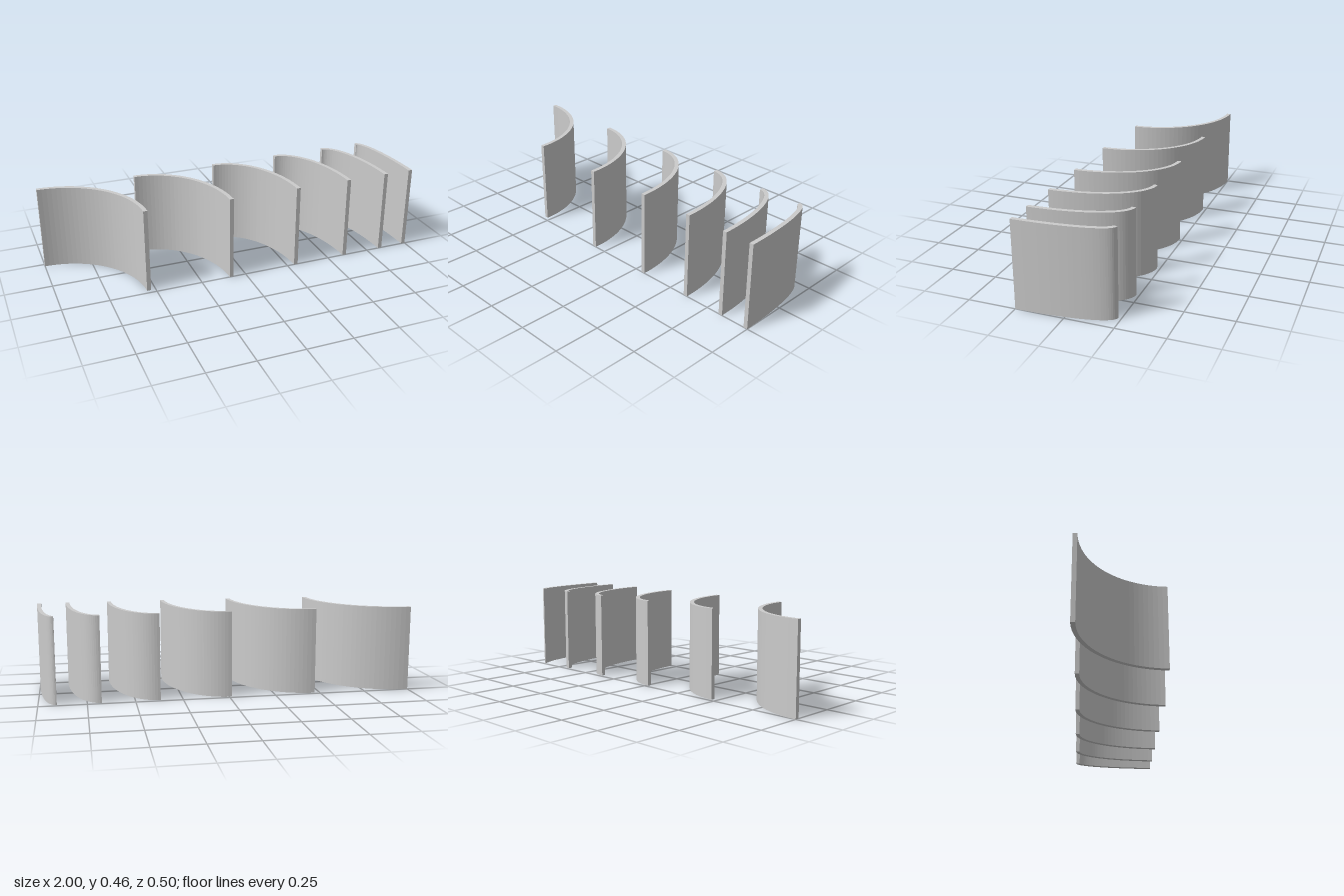
import * as THREE from 'three';

const HEIGHT = 0.46;
const HALF_THICKNESS = 0.011;
const SEGMENTS = 28;

// Upright plate following a quarter ellipse, with an even wall thickness
function curvedPlate(left, right, back, front) {
  const rx = right - left - HALF_THICKNESS;
  const rz = front - back - HALF_THICKNESS;
  const outer = [];
  const inner = [];
  for (let i = 0; i <= SEGMENTS; i++) {
    const t = (i / SEGMENTS) * Math.PI / 2;
    const x = left + rx * Math.sin(t);
    const y = -front + rz * Math.cos(t);
    const normal = new THREE.Vector2(rz * Math.sin(t), rx * Math.cos(t)).setLength(HALF_THICKNESS);
    outer.push(new THREE.Vector2(x + normal.x, y + normal.y));
    inner.unshift(new THREE.Vector2(x - normal.x, y - normal.y));
  }
  const shape = new THREE.Shape([...outer, ...inner]);
  const geometry = new THREE.ExtrudeGeometry(shape, { depth: HEIGHT, bevelEnabled: false });
  return geometry.rotateX(-Math.PI / 2);
}

export function createModel() {
  const group = new THREE.Group();
  group.name = 'curvedPlates';
  const material = new THREE.MeshStandardMaterial({ color: 0xcccccc });

  // Row of plates, each narrower than the last: left x, right x, back z, front z
  const plates = [
    [-1, -0.525, -0.25, 0.227],
    [-0.472, -0.07, -0.234, 0.25],
    [-0.012, 0.312, -0.234, 0.25],
    [0.368, 0.615, -0.234, 0.25],
    [0.675, 0.845, -0.234, 0.25],
    [0.905, 1, -0.234, 0.25],
  ];
  plates.forEach((extent, i) => {
    const plate = new THREE.Mesh(curvedPlate(...extent), material);
    plate.name = `curvedPlate${i + 1}`;
    group.add(plate);
  });
  return group;
}
